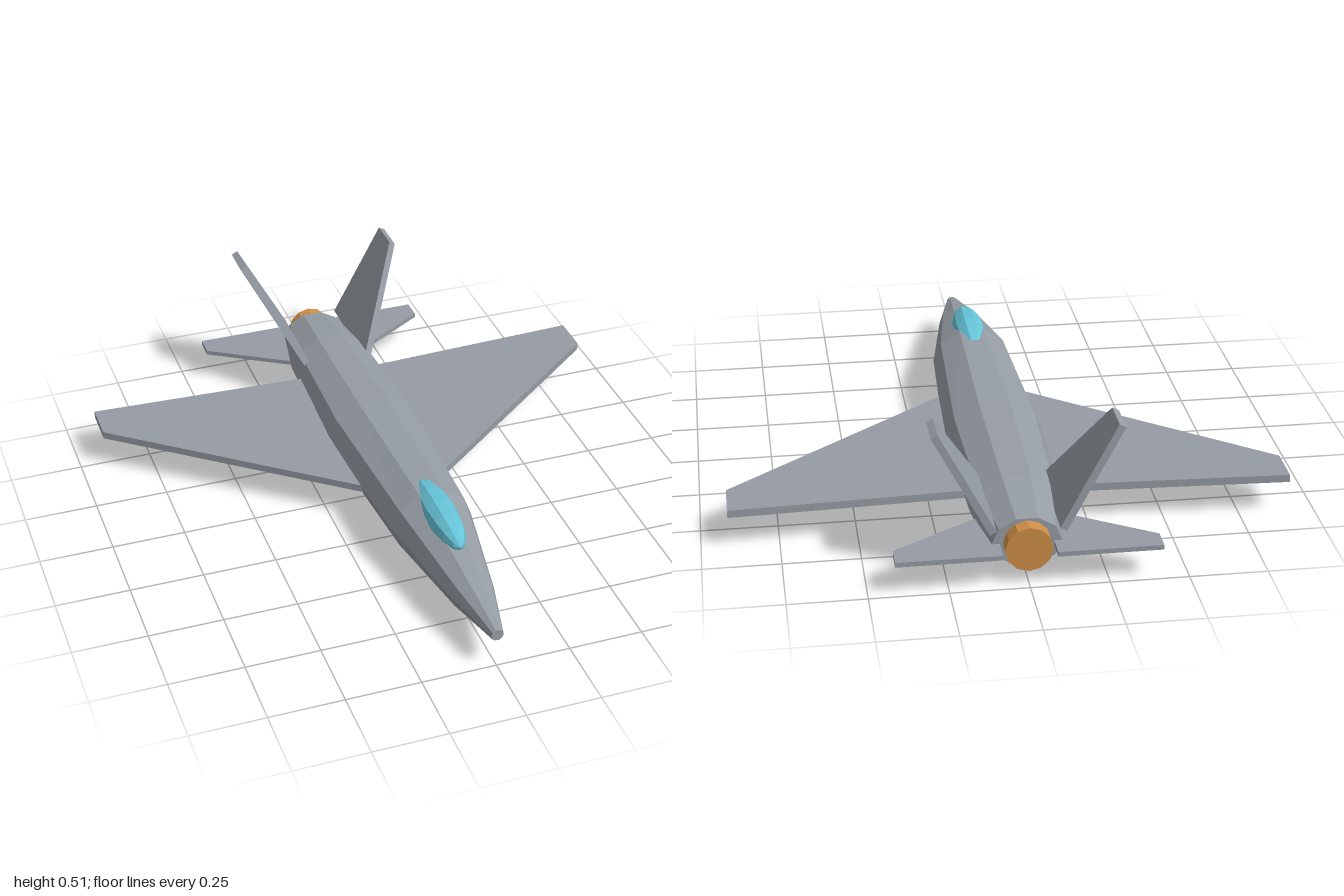
import * as THREE from 'three';

const flat = (name, color) => new THREE.MeshStandardMaterial({ name, color, flatShading: true });

export function createModel() {
  const jet = new THREE.Group();
  jet.name = 'jetAircraft';
  const grey = flat('hullGrey', 0x969ca4);
  const cyan = flat('canopyCyan', 0x66c4d8);
  const orange = flat('nozzleOrange', 0xcf8f48);

  const add = (name, geometry, material) => {
    const mesh = new THREE.Mesh(geometry, material);
    mesh.name = name;
    jet.add(mesh);
    return mesh;
  };

  // A flat plate cut from an outline, centred on its own thickness
  const plate = (points, thickness) => {
    const shape = new THREE.Shape(points.map(([u, v]) => new THREE.Vector2(u, v)));
    const geometry = new THREE.ExtrudeGeometry(shape, { depth: thickness, bevelEnabled: false });
    return geometry.translate(0, 0, -thickness / 2);
  };

  // Fuselage: ten-sided sections from tail to nose [z, centre y, half width, half height]
  const sections = [
    [-0.925, 0.125, 0.11, 0.085],
    [-0.7, 0.125, 0.15, 0.116],
    [-0.2, 0.13, 0.17, 0.131],
    [0.4, 0.15, 0.14, 0.12],
    [0.78, 0.134, 0.074, 0.068],
    [1, 0.127, 0.021, 0.021],
  ];
  const rows = sections.length - 1;
  const body = new THREE.CylinderGeometry(1, 1, 1, 10, rows, false, Math.PI / 2);
  body.rotateX(Math.PI / 2);
  const p = body.attributes.position;
  for (let i = 0; i < p.count; i++) {
    const [z, cy, rx, ry] = sections[Math.round((p.getZ(i) + 0.5) * rows)];
    p.setXYZ(i, p.getX(i) * rx, cy + p.getY(i) * ry, z);
  }
  add('fuselage', body, grey);

  // Canopy bubble sunk into the upper nose
  const canopy = new THREE.SphereGeometry(1, 10, 8);
  canopy.rotateX(Math.PI / 2).scale(0.058, 0.057, 0.2).translate(0, 0.23, 0.47);
  add('canopy', canopy, cyan);

  // Exhaust nozzle
  const nozzle = new THREE.CylinderGeometry(0.075, 0.075, 0.095, 12);
  nozzle.rotateX(Math.PI / 2).translate(0, 0.125, -0.9275);
  add('exhaustNozzle', nozzle, orange);

  // Mirrored flying surfaces: +1 is the left side
  for (const [label, s] of [['left', 1], ['right', -1]]) {
    // Outlines are given as [x, z] and laid flat
    const horizontal = (points, thickness, y) =>
      plate(points.map(([x, z]) => [s * x, -z]), thickness).rotateX(-Math.PI / 2).translate(0, y, 0);

    add(label + 'Wing', horizontal(
      [[0.08, 0.177], [0.912, -0.49], [0.912, -0.63], [0.08, -0.594]], 0.026, 0.129), grey);

    add(label + 'Tailplane', horizontal(
      [[0.085, -0.718], [0.416, -0.926], [0.416, -1], [0.085, -1]], 0.016, 0.116), grey);

    // Canted fin: outline is [-z, height above root]
    const fin = plate([[0.593, 0], [0.955, 0], [0.943, 0.38], [0.823, 0.38]], 0.024);
    fin.rotateY(Math.PI / 2).rotateZ(-s * 0.488).translate(s * 0.109, 0.177, 0);
    add(label + 'Fin', fin, grey);
  }
  return jet;
}
